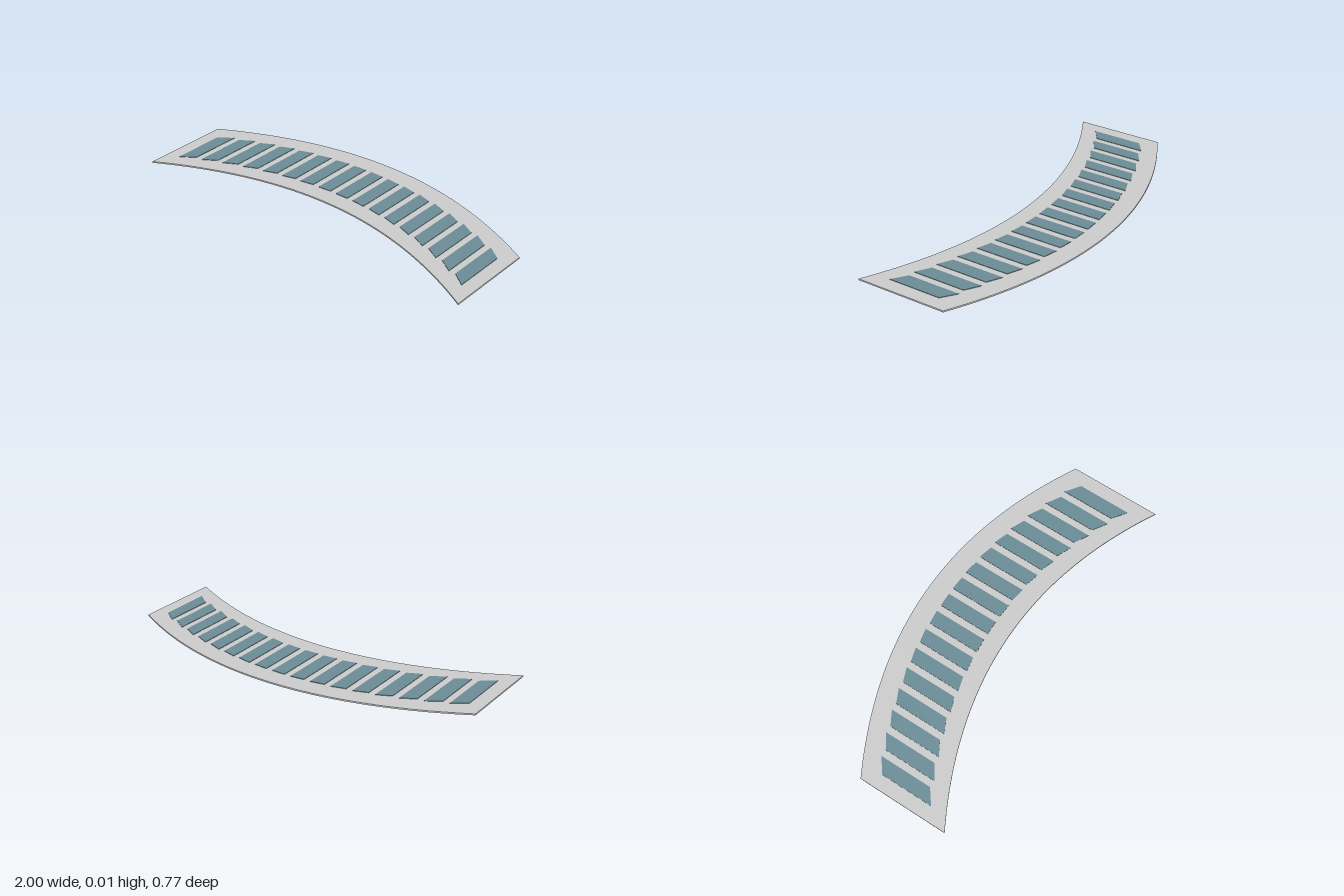
import * as THREE from 'three';

const BASE_TOP = 0.008;
const PANEL_TOP = 0.0105;
const BOW = 0.28; // z = BOW * x^2 along the strip

// Extrude a plan outline (shape y = -z) upwards from a given height
function slab(name, shape, bottom, top, color) {
  const geometry = new THREE.ExtrudeGeometry(shape, {
    depth: top - bottom, bevelEnabled: false, curveSegments: 48,
  });
  geometry.rotateX(-Math.PI / 2);
  geometry.translate(0, bottom, 0);
  const mesh = new THREE.Mesh(geometry, new THREE.MeshStandardMaterial({ color }));
  mesh.name = name;
  return mesh;
}

export function createModel() {
  const model = new THREE.Group();
  model.name = 'curvedPanelStrip';

  // Bowed base plate: parabolic front and back edges, straight ends
  const plate = new THREE.Shape();
  plate.moveTo(-1, -0.385);
  plate.quadraticCurveTo(0, -0.385 + 2 * BOW, 1, -0.385);
  plate.lineTo(1, 0.105);
  plate.quadraticCurveTo(0, 0.105 + 2 * BOW, -1, 0.105);
  plate.closePath();
  model.add(slab('basePlate', plate, 0, BASE_TOP, 0xcccccc));

  // Row of thin sheared panels following the bow
  const panels = new THREE.Group();
  panels.name = 'panels';
  const half = 0.0375;
  for (let i = -8; i <= 8; i++) {
    const x = i * 0.1112;
    const offset = BOW * x * x;
    const skew = 0.84 * x * half;
    const back = 0.277 - offset;
    const front = -0.009 - offset;
    const outline = new THREE.Shape([
      new THREE.Vector2(x - half, front + skew),
      new THREE.Vector2(x + half, front - skew),
      new THREE.Vector2(x + half, back - skew),
      new THREE.Vector2(x - half, back + skew),
    ]);
    panels.add(slab('panel' + (i + 9), outline, BASE_TOP - 0.002, PANEL_TOP, 0x6a8c96));
  }
  model.add(panels);

  return model;
}
